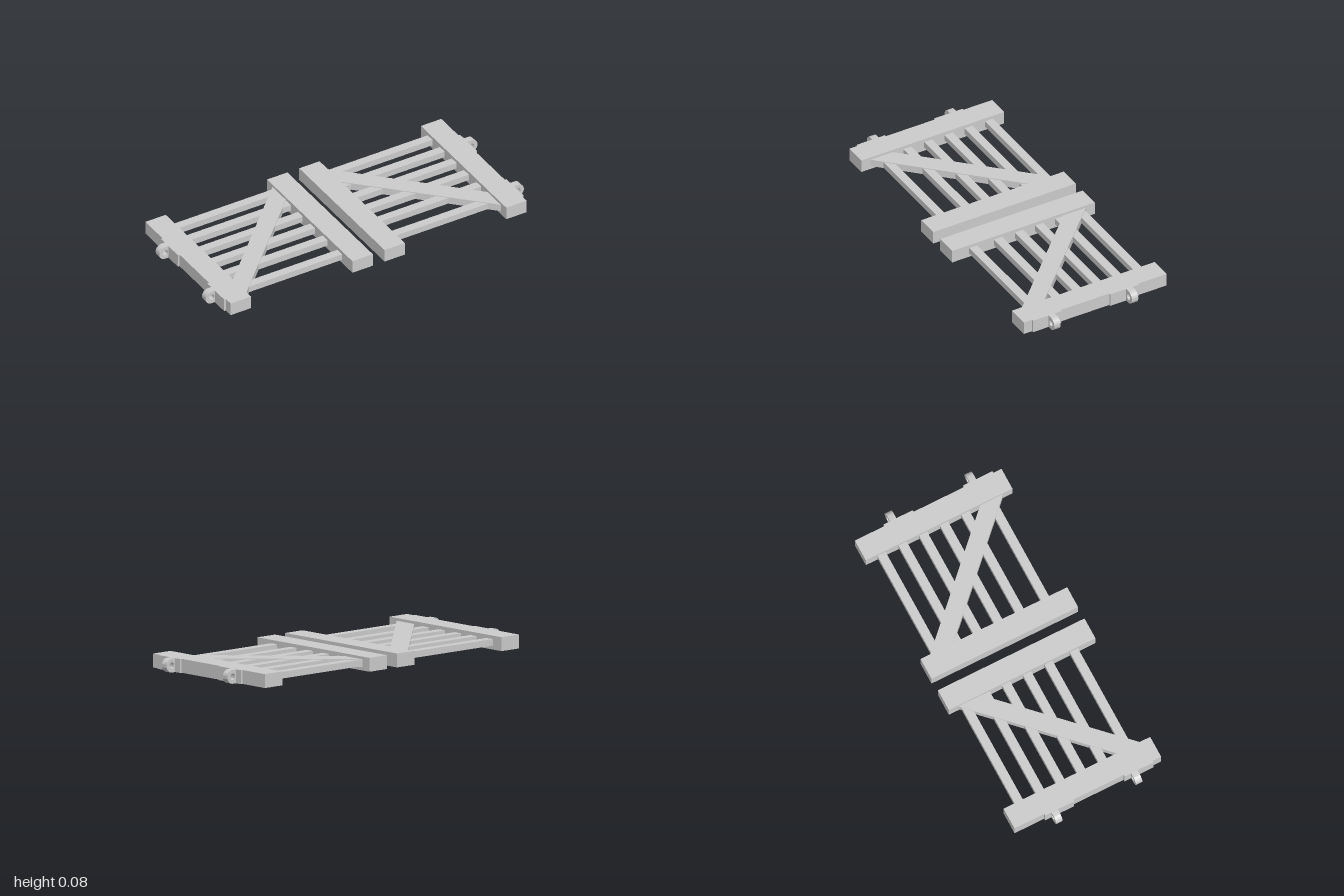
import * as THREE from 'three';
import { toCreasedNormals } from 'three/addons/utils/BufferGeometryUtils.js';

const material = new THREE.MeshStandardMaterial({ color: 0xcccccc });
const H = 0.076; // thickness of the posts
const MID = H / 2;

function add(parent, name, geometry, x, y, z) {
  const mesh = new THREE.Mesh(geometry, material);
  mesh.name = name;
  mesh.position.set(x, y, z);
  parent.add(mesh);
  return mesh;
}

// Hinge eye: a D shape with a pin hole, rounded towards +x
function eyeGeometry(flat) {
  const r = MID, width = 0.039;
  const shape = new THREE.Shape();
  shape.moveTo(-flat, -r);
  shape.lineTo(0, -r);
  shape.absarc(0, 0, r, -Math.PI / 2, Math.PI / 2, false);
  shape.lineTo(-flat, r);
  shape.closePath();
  const hole = new THREE.Path();
  hole.absarc(0, 0, 0.017, 0, Math.PI * 2, true);
  shape.holes.push(hole);
  const geometry = new THREE.ExtrudeGeometry(shape, { depth: width, bevelEnabled: false, curveSegments: 16 });
  geometry.translate(0, 0, -width / 2);
  return toCreasedNormals(geometry, 0.6);
}

// One gate leaf lying flat; side is +1 or -1, centre its distance from x = 0
function createGate(side, centre) {
  const gate = new THREE.Group();
  gate.name = side > 0 ? 'leftGate' : 'rightGate';
  const postWidth = 0.128, span = 0.637;
  const postOffset = (span + postWidth) / 2;

  // Hinge post and latch post
  const post = new THREE.BoxGeometry(postWidth, H, 0.89);
  add(gate, 'hingePost', post, side * (centre + postOffset), MID, 0);
  add(gate, 'latchPost', post, side * (centre - postOffset), MID, 0);

  // Horizontal rails
  const rail = new THREE.BoxGeometry(span + 0.04, 0.036, 0.05);
  for (const z of [-0.35, -0.222, -0.098, 0.029, 0.159, 0.313]) {
    add(gate, 'rail', rail, side * centre, MID + 0.001, z);
  }

  // Diagonal brace, its ends buried in the posts
  const brace = add(gate, 'brace', new THREE.BoxGeometry(1.02, 0.042, 0.099), side * centre, MID + 0.002, 0);
  brace.rotation.y = -side * Math.PI / 4;

  // Hinge plates with their eyes
  const postEdge = centre + postOffset + postWidth / 2;
  const plate = new THREE.BoxGeometry(0.021, H, 0.177);
  const eyeX = 1 - MID;
  const eye = eyeGeometry(eyeX - postEdge);
  for (const [plateZ, eyeZ] of [[-0.177, -0.207], [0.306, 0.277]]) {
    add(gate, 'hingePlate', plate, side * postEdge, MID, plateZ);
    const hinge = add(gate, 'hingeEye', eye, side * eyeX, MID, eyeZ);
    if (side < 0) hinge.rotation.y = Math.PI;
  }
  return gate;
}

export function createModel() {
  const model = new THREE.Group();
  model.name = 'doubleGate';
  model.add(createGate(1, 0.481), createGate(-1, 0.486));
  return model;
}
